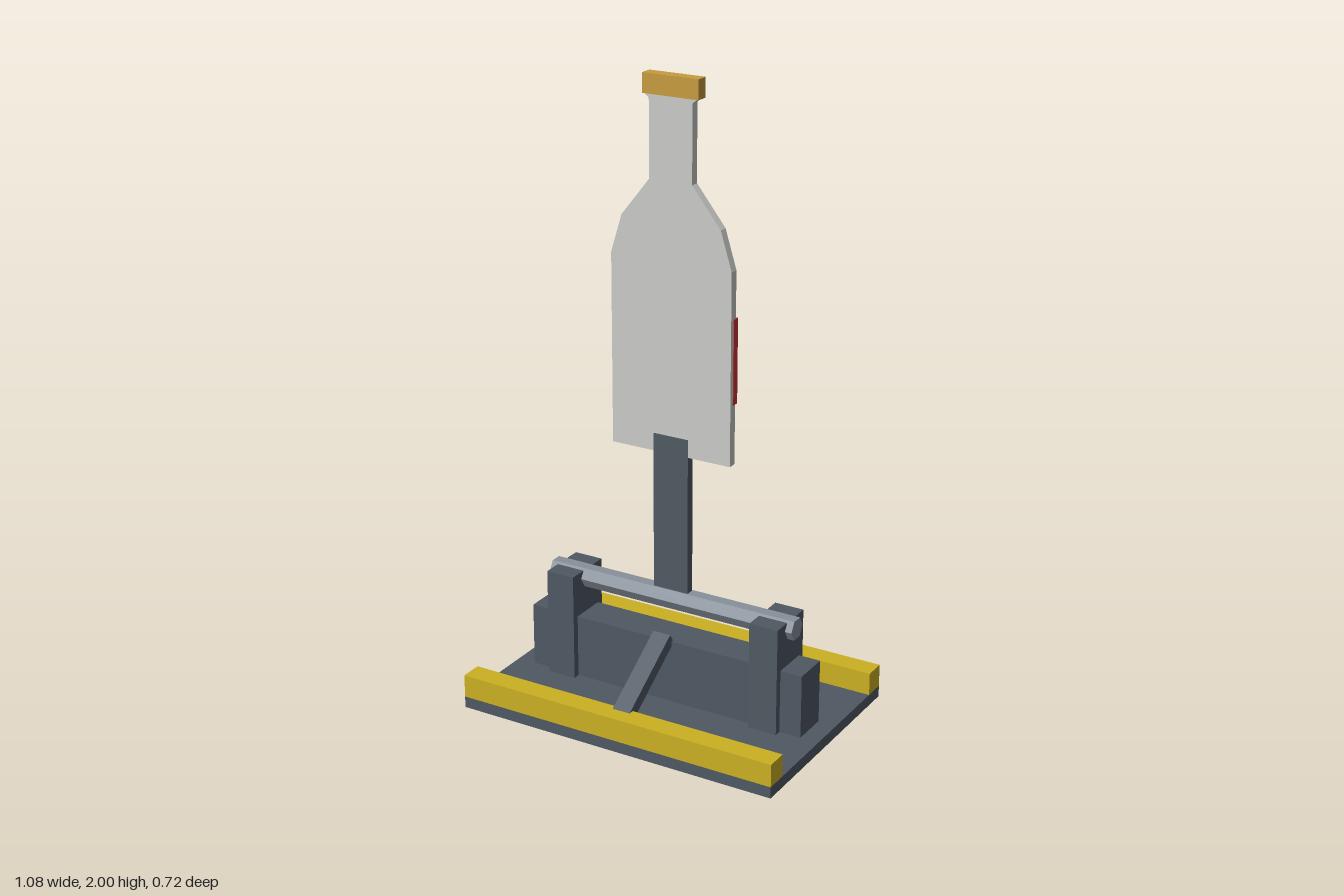
import * as THREE from 'three';

const paint = (name, color) => {
  const m = new THREE.MeshStandardMaterial({ color });
  m.name = name;
  return m;
};

export function createModel() {
  const steel = paint('dark steel', 0x4f5963);
  const axleGrey = paint('axle grey', 0x87919b);
  const yellow = paint('safety yellow', 0xcbb022);
  const plate = paint('pale plate', 0xcacac7);
  const red = paint('label red', 0xc83236);
  const gold = paint('cap gold', 0xc69c40);
  const medal = paint('medallion gold', 0xc8a02c);

  const model = new THREE.Group();
  model.name = 'swingTarget';
  const add = (name, geometry, material, x = 0, y = 0, z = 0) => {
    const mesh = new THREE.Mesh(geometry, material);
    mesh.name = name;
    mesh.position.set(x, y, z);
    model.add(mesh);
    return mesh;
  };
  // Box given by its width, bottom, top, back and front
  const block = (name, material, w, y0, y1, z0, z1, x = 0) =>
    add(name, new THREE.BoxGeometry(w, y1 - y0, z1 - z0), material, x, (y0 + y1) / 2, (z0 + z1) / 2);

  // Base with front and rear rails
  block('basePlate', steel, 1.084, 0, 0.037, -0.361, 0.361);
  block('frontRail', yellow, 1.084, 0.037, 0.111, 0.29, 0.361);
  block('rearRail', yellow, 1.084, 0.037, 0.111, -0.361, -0.29);

  // Housing, posts and hexagonal axle
  block('housing', steel, 0.964, 0.037, 0.244, -0.06, 0.06);
  for (const s of [-1, 1]) {
    block(s > 0 ? 'leftPost' : 'rightPost', steel, 0.096, 0.037, 0.388, -0.083, 0.083, s * 0.362);
  }
  const axle = new THREE.CylinderGeometry(0.036, 0.036, 0.864, 6).toNonIndexed();
  axle.computeVertexNormals();
  axle.rotateZ(Math.PI / 2);
  add('axle', axle, axleGrey, 0, 0.364, 0);

  // Sloping brace at the front
  const brace = add('brace', new THREE.BoxGeometry(0.06, 0.04, 0.288), steel, 0, 0.174, 0.177);
  brace.rotation.x = 0.585;

  // Upright arm, a hair thicker than the target plate
  block('arm', steel, 0.12, 0.364, 0.903, -0.0143, 0.0143);

  // Bottle-shaped target plate, mirrored from half an outline
  const half = [[0.204, 0.846], [0.204, 1.45], [0.167, 1.57], [0.072, 1.69], [0.072, 1.928], [0.09, 1.942]];
  const outline = [...half, ...half.map(([x, y]) => [-x, y]).reverse()];
  const shape = new THREE.Shape(outline.map(([x, y]) => new THREE.Vector2(x, y)));
  const bottle = new THREE.ExtrudeGeometry(shape, { depth: 0.028, bevelEnabled: false });
  add('bottlePlate', bottle, plate, 0, 0, -0.014);
  block('bottleCap', gold, 0.186, 1.94, 2, -0.024, 0.016);

  // Rear label with its ten-sided medallion
  block('label', red, 0.411, 1.037, 1.303, -0.024, 0);
  const disc = new THREE.CylinderGeometry(0.101, 0.101, 0.009, 10).toNonIndexed();
  disc.computeVertexNormals();
  disc.rotateX(Math.PI / 2);
  add('medallion', disc, medal, 0, 1.17, -0.0285);

  return model;
}
